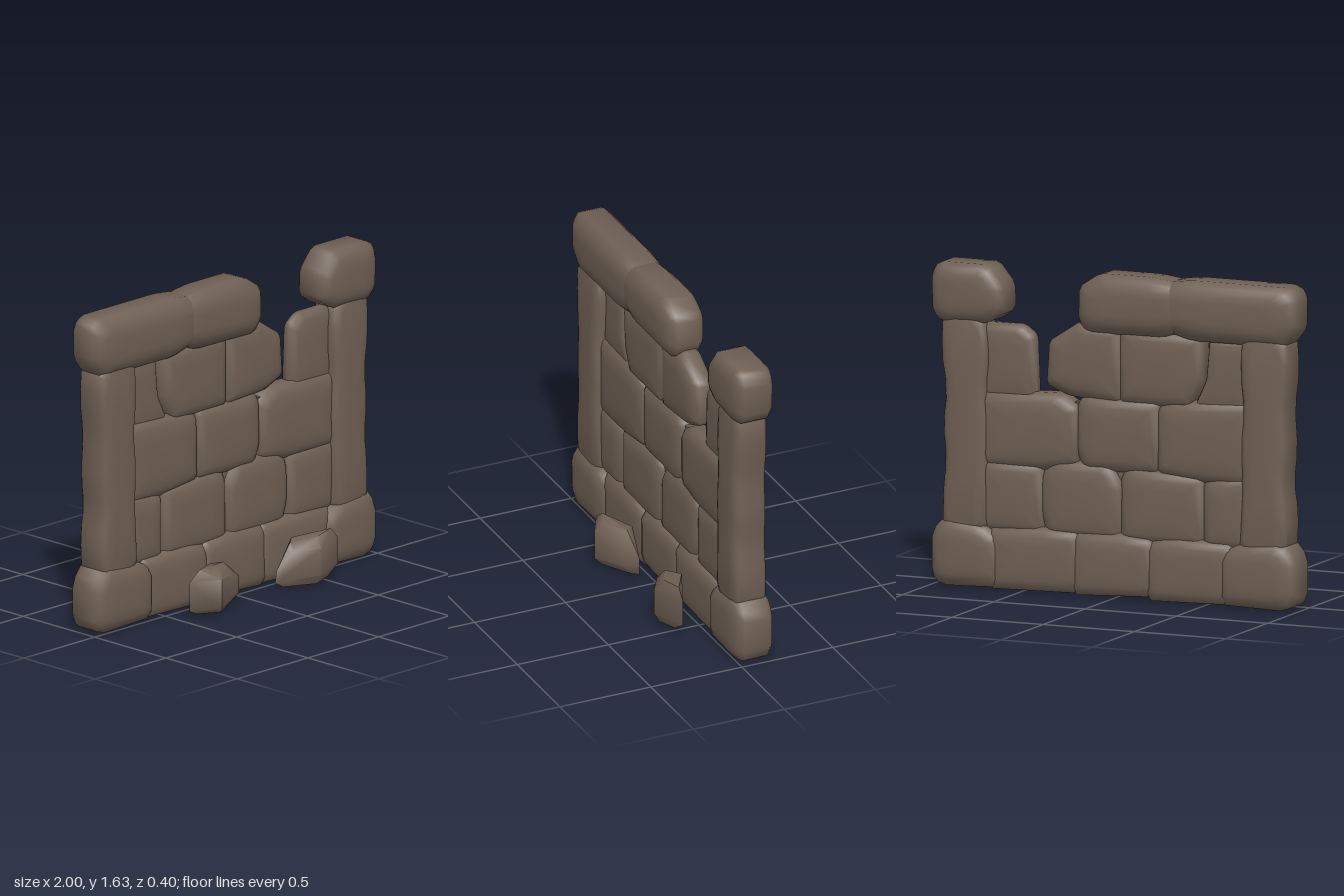
import * as THREE from 'three';
import { toCreasedNormals } from 'three/addons/utils/BufferGeometryUtils.js';
import { ConvexGeometry } from 'three/addons/geometries/ConvexGeometry.js';

const stoneMat = new THREE.MeshStandardMaterial({ color: 0x6f6054 });
stoneMat.name = 'brown stone';

// Cut every corner of an outline and return it counter-clockwise
function softenOutline(points, cut) {
  let pts = points.map(([x, y]) => new THREE.Vector2(x, y));
  if (THREE.ShapeUtils.area(pts) < 0) pts = pts.reverse();
  const out = [];
  pts.forEach((p, i) => {
    for (const q of [pts.at(i - 1), pts[(i + 1) % pts.length]]) {
      const d = p.distanceTo(q);
      out.push(p.clone().lerp(q, Math.min(cut / d, 0.3)));
    }
  });
  return out;
}

// Chamfered stone: outline rings stepped through z, closed by fans
function stoneGeometry(points, z0, z1, bevel, cut) {
  const outline = softenOutline(points, cut);
  const box = new THREE.Box2().setFromPoints(outline);
  const c = box.getCenter(new THREE.Vector2());
  const s = box.getSize(new THREE.Vector2());
  const n = outline.length;
  const depth = bevel * 0.8;
  // [inset, z, extra scale]
  const rings = [
    [bevel, z0 + 0.002, 0.6], [bevel, z0 + 0.006, 1], [bevel * 0.4, z0 + depth * 0.45, 1], [0, z0 + depth, 1],
    [0, z1 - depth, 1], [bevel * 0.4, z1 - depth * 0.45, 1], [bevel, z1 - 0.006, 1], [bevel, z1 - 0.002, 0.6],
  ];
  const pos = [], idx = [];
  for (const [inset, z, k] of rings) {
    const kx = k * (1 - (2 * inset) / s.x), ky = k * (1 - (2 * inset) / s.y);
    for (const p of outline) pos.push(c.x + (p.x - c.x) * kx, c.y + (p.y - c.y) * ky, z);
  }
  for (let r = 0; r < rings.length - 1; r++) {
    for (let i = 0; i < n; i++) {
      const j = (i + 1) % n, a = r * n + i, b = r * n + j;
      idx.push(a, b, b + n, a, b + n, a + n);
    }
  }
  const back = rings.length * n, front = back + 1, last = (rings.length - 1) * n;
  pos.push(c.x, c.y, z0, c.x, c.y, z1);
  for (let i = 0; i < n; i++) {
    const j = (i + 1) % n;
    idx.push(back, j, i, front, last + i, last + j);
  }
  const g = new THREE.BufferGeometry();
  g.setAttribute('position', new THREE.Float32BufferAttribute(pos, 3));
  g.setIndex(idx);
  return toCreasedNormals(g, 1.0);
}

export function createModel() {
  const model = new THREE.Group();
  model.name = 'brokenStoneWall';

  const addMesh = (parent, name, geometry) => {
    const m = new THREE.Mesh(geometry, stoneMat);
    m.name = name;
    parent.add(m);
  };
  const addCourse = (name, outlines, z0, z1, bevel, cut) => {
    const g = new THREE.Group();
    g.name = name;
    outlines.forEach((o, i) => addMesh(g, name + 'Stone' + (i + 1), stoneGeometry(o, z0, z1, bevel, cut)));
    model.add(g);
  };

  // Heavy corner blocks on the ground
  addCourse('cornerFooting', [
    [[-1, 0.05], [-0.94, 0], [-0.58, 0.01], [-0.58, 0.27], [-0.7, 0.33], [-0.93, 0.35], [-1, 0.26]],
    [[0.62, 0.01], [0.95, 0], [1, 0.05], [1, 0.27], [0.93, 0.35], [0.72, 0.33], [0.62, 0.26]],
  ], -0.2, 0.03, 0.06, 0.03);

  // Slimmer footing stones between them
  addCourse('footing', [
    [[-0.66, 0.01], [-0.17, 0], [-0.18, 0.3], [-0.32, 0.33], [-0.66, 0.32]],
    [[-0.22, 0.02], [0.24, 0], [0.23, 0.32], [-0.05, 0.33], [-0.22, 0.31]],
    [[0.18, 0.01], [0.7, 0], [0.7, 0.31], [0.4, 0.33], [0.18, 0.32]],
  ], -0.183, 0.006, 0.05, 0.03);

  // Upright end pillars with slight waists
  addCourse('pillar', [
    [[-0.94, 0.27], [-0.68, 0.27], [-0.7, 0.62], [-0.69, 0.82], [-0.71, 1.0], [-0.69, 1.18], [-0.7, 1.39],
      [-0.94, 1.39], [-0.955, 1.2], [-0.93, 1.01], [-0.945, 0.8], [-0.925, 0.63], [-0.95, 0.48]],
    [[0.69, 0.27], [0.94, 0.27], [0.94, 0.5], [0.92, 0.64], [0.94, 0.8], [0.92, 0.99], [0.95, 1.18],
      [0.94, 1.39], [0.72, 1.39], [0.69, 1.18], [0.71, 1.0], [0.69, 0.82], [0.7, 0.63]],
  ], -0.18, 0.013, 0.04, 0.05);

  // Infill courses with deep joints
  addCourse('lowerInfill', [
    [[-0.75, 0.28], [-0.475, 0.28], [-0.475, 0.62], [-0.54, 0.65], [-0.75, 0.67]],
    [[-0.485, 0.28], [-0.02, 0.28], [-0.025, 0.62], [-0.08, 0.67], [-0.485, 0.65]],
    [[-0.035, 0.28], [0.38, 0.28], [0.415, 0.4], [0.41, 0.6], [0.34, 0.68], [0.03, 0.68], [-0.035, 0.57]],
    [[0.39, 0.28], [0.75, 0.28], [0.75, 0.66], [0.395, 0.65]],
  ], -0.165, -0.015, 0.055, 0.02);
  addCourse('middleInfill', [
    [[-0.75, 0.61], [-0.45, 0.61], [-0.22, 0.64], [-0.225, 0.98], [-0.3, 1.02], [-0.75, 1.04]],
    [[-0.24, 0.64], [0.18, 0.63], [0.22, 0.72], [0.215, 0.97], [0.17, 1.01], [-0.24, 1.01]],
    [[0.2, 0.65], [0.4, 0.61], [0.75, 0.61], [0.75, 1.0], [0.3, 1.01], [0.2, 0.95]],
  ], -0.165, -0.015, 0.055, 0.02);
  addCourse('upperInfill', [
    [[-0.41, 0.98], [-0.015, 0.98], [-0.015, 1.37], [-0.48, 1.36], [-0.47, 1.12]],
    [[-0.03, 0.98], [0.26, 1.0], [0.385, 1.05], [0.37, 1.27], [0.2, 1.38], [-0.03, 1.37]],
  ], -0.165, -0.017, 0.055, 0.015);

  // Thin stubs beside the pillars
  addCourse('stub', [
    [[-0.75, 0.97], [-0.41, 0.97], [-0.485, 1.13], [-0.505, 1.35], [-0.75, 1.36]],
    [[0.435, 0.95], [0.75, 0.95], [0.75, 1.34], [0.52, 1.34], [0.45, 1.29]],
  ], -0.145, -0.042, 0.045, 0.015);

  // Recessed core closing the joints
  const core = new THREE.BoxGeometry(1.5, 0.82, 0.06);
  core.translate(0, 0.56, -0.09);
  addMesh(model, 'wallCore', core);

  // Capstones, with the broken gap between them
  addCourse('rightCapstone', [
    [[-1, 1.42], [-0.93, 1.33], [-0.42, 1.33], [-0.24, 1.38], [-0.24, 1.61], [-0.42, 1.635], [-0.95, 1.635], [-1, 1.59]],
    [[-0.4, 1.38], [-0.26, 1.335], [0.15, 1.33], [0.2, 1.39], [0.195, 1.56], [0.08, 1.635], [-0.2, 1.635], [-0.4, 1.61]],
  ], -0.2, 0.03, 0.068, 0.02);
  addCourse('leftCapstone', [
    [[0.6, 1.4], [0.69, 1.34], [0.94, 1.33], [0.995, 1.38], [1, 1.57], [0.96, 1.635], [0.69, 1.635], [0.605, 1.53]],
  ], -0.2, 0.03, 0.058, 0.02);

  // Loose rubble lying before the wall
  const rubble = [
    [[-0.45, 0.04, 0.12], [-0.45, 0.19, 0.12], [-0.3, 0.04, 0.2], [-0.3, 0.19, 0.2], [-0.05, 0.04, 0.07], [-0.05, 0.13, 0.07],
      [-0.22, 0.03, 0.03], [-0.22, 0.22, 0.03], [-0.38, 0.24, 0.12], [-0.17, 0.23, 0.08], [-0.28, 0.235, 0.16],
      [-0.4, 0.015, 0.12], [-0.11, 0.015, 0.08], [-0.28, 0.01, 0.17], [-0.13, 0.06, 0.12], [-0.13, 0.17, 0.12]],
    [[0.19, 0.04, 0.085], [0.2, 0.1, 0.085], [0.4, 0.06, 0.2], [0.4, 0.2, 0.2], [0.59, 0.07, 0.13], [0.59, 0.2, 0.13],
      [0.36, 0.04, 0.03], [0.36, 0.23, 0.03], [0.29, 0.23, 0.09], [0.54, 0.26, 0.13], [0.41, 0.25, 0.16],
      [0.24, 0.01, 0.09], [0.51, 0.02, 0.14], [0.4, 0.01, 0.17], [0.28, 0.19, 0.13]],
  ];
  rubble.forEach((pts, i) => {
    const g = new ConvexGeometry(pts.map((p) => new THREE.Vector3(...p)));
    addMesh(model, 'looseStone' + (i + 1), toCreasedNormals(g, 0.9));
  });

  return model;
}
